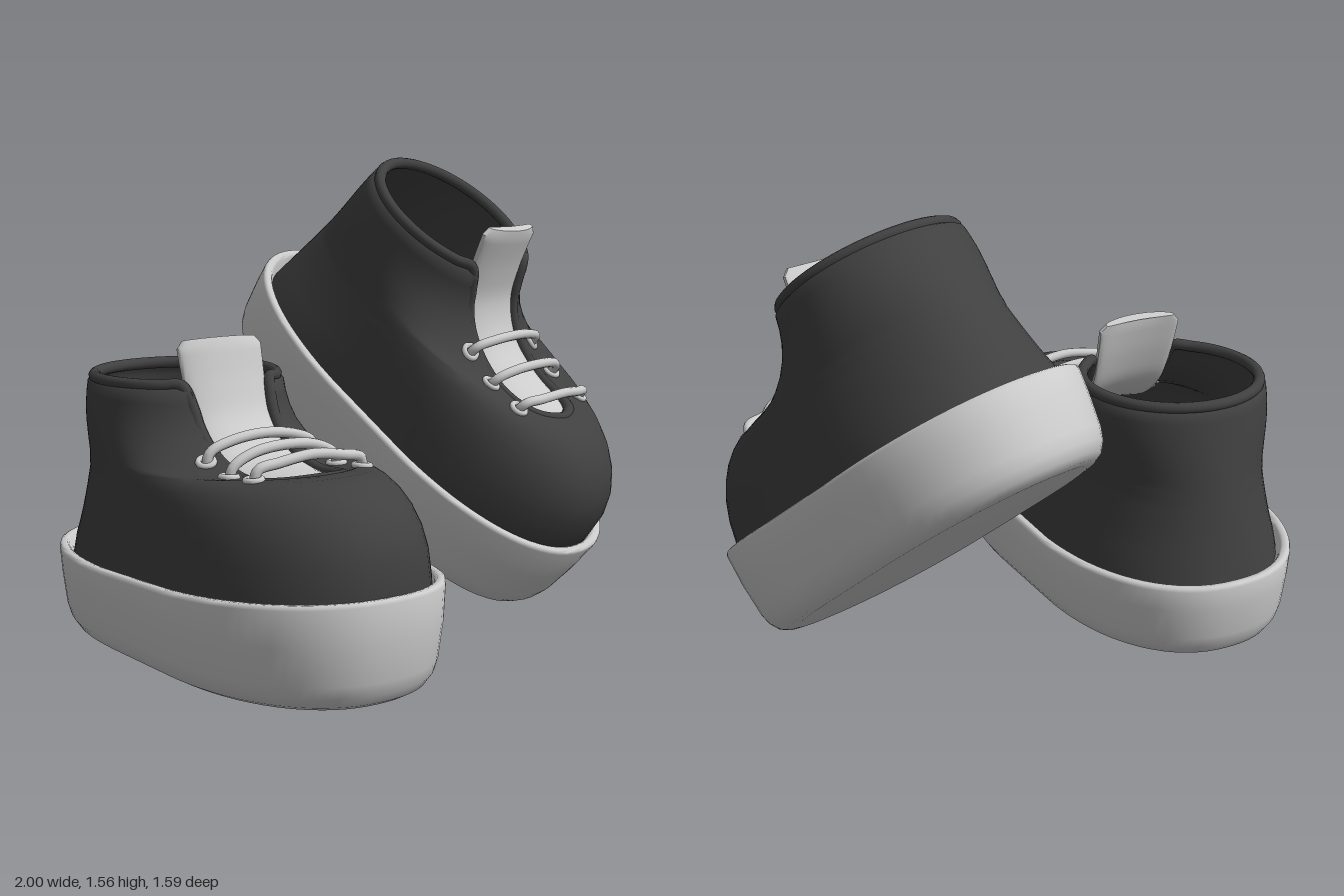
import * as THREE from 'three';
import { toCreasedNormals } from 'three/addons/utils/BufferGeometryUtils.js';

const light = new THREE.MeshStandardMaterial({ color: 0xcccccc, side: THREE.DoubleSide });
const dark = new THREE.MeshStandardMaterial({ color: 0x404040, side: THREE.DoubleSide });
const N = 72;
const V = (x, y, z) => new THREE.Vector3(x, y, z);
const spow = (v, p) => Math.sign(v) * Math.abs(v) ** p;

// Rounded outline from front round to front, with height y(z) and straight sides of half-length s;
// w leaves a gap of half-width w at the front
function outline(y, zf, zb, hw, n, s = 0, w = 0) {
  const start = w ? Math.asin((w / hw) ** (n / 2)) : 0;
  const c = (zf + zb) / 2, a = (zf - zb) / 2 - s;
  return Array.from({ length: N + 1 }, (_, j) => {
    const t = start + (j / N) * (2 * Math.PI - 2 * start), cos = Math.cos(t);
    const z = c + s * Math.sign(cos) + a * spow(cos, 2 / n);
    return V(hw * spow(Math.sin(t), 2 / n), y(z), z);
  });
}

// Skin a surface over rings with equal point counts
function loft(rings, crease = 0.7) {
  const m = rings[0].length, index = [];
  for (let i = 0; i < rings.length - 1; i++)
    for (let j = 0; j < m - 1; j++) {
      const a = i * m + j, d = a + m;
      index.push(a, a + 1, d + 1, a, d + 1, d);
    }
  const g = new THREE.BufferGeometry().setFromPoints(rings.flat());
  g.setIndex(index);
  return toCreasedNormals(g, crease);
}

function add(group, name, geometry, material) {
  const mesh = new THREE.Mesh(geometry, material);
  mesh.name = name;
  group.add(mesh);
  return mesh;
}

const tube = (points, r, segments, closed = false) =>
  new THREE.TubeGeometry(new THREE.CatmullRomCurve3(points, closed), segments, r, 10, closed);

function createSole() {
  const top = (z) => 0.288 + 0.05 * Math.max(0, z + 0.2) ** 1.3;
  const ring = (inset, y) => outline(y, 0.81 - inset, -0.812 + inset, 0.437 - inset, 2.25, 0.15);
  const level = (inset, y) => ring(inset, () => y);
  return loft([
    Array(N + 1).fill(V(0, 0, 0)),
    level(0.11, 0), level(0.08, 0.005), level(0.053, 0.02), level(0.032, 0.05), level(0.02, 0.09),
    level(0.006, 0.2), ring(0, (z) => top(z) - 0.014), ring(0.003, (z) => top(z) - 0.004),
    ring(0.01, top), ring(0.026, top), ring(0.033, (z) => top(z) - 0.008), level(0.055, 0.24),
  ], 1);
}

// Upper rows: heel height, front height, front z, half-width of the throat gap
const UPPER = [
  [0.12, 0.12, 0.745, 0],
  [0.2, 0.2, 0.765, 0],
  [0.31, 0.33, 0.775, 0],
  [0.36, 0.43, 0.77, 0],
  [0.4, 0.5, 0.747, 0],
  [0.44, 0.56, 0.705, 0],
  [0.48, 0.605, 0.65, 0],
  [0.515, 0.632, 0.59, 0],
  [0.545, 0.643, 0.535, 0],
  [0.57, 0.64, 0.46, 0],
  [0.58, 0.637, 0.453, 0.065],
  [0.59, 0.632, 0.438, 0.11],
  [0.61, 0.622, 0.385, 0.138],
  [0.64, 0.616, 0.3, 0.143],
  [0.67, 0.628, 0.22, 0.143],
  [0.705, 0.658, 0.135, 0.143],
  [0.74, 0.7, 0.067, 0.143],
  [0.775, 0.75, 0.022, 0.145],
  [0.81, 0.8, -0.003, 0.148],
  [0.842, 0.842, -0.013, 0.153],
];

function createUpperRows() {
  const rows = UPPER.map(([yb, yf, zf, w]) => {
    const zb = -0.752 + (yb - 0.29) * 0.175;
    const y = (z) => yb + (yf - yb) * Math.max(0, (z - zb) / (zf - zb)) ** 1.5;
    const low = THREE.MathUtils.clamp((0.55 - yb) / 0.25, 0, 1);
    return outline(y, zf, zb, 0.392 - (yb - 0.29) * 0.13, 2.08 + 0.17 * low, 0.15 * low, w);
  });
  // The top row turns in to meet the rolled edge
  rows.push(outline(() => 0.858, -0.038, -0.635, 0.3, 2, 0, 0.166));
  return rows;
}

function createTongue() {
  const path = new THREE.CatmullRomCurve3([
    V(0, 0.595, 0.47), V(0, 0.604, 0.36), V(0, 0.612, 0.22), V(0, 0.65, 0.085),
    V(0, 0.74, -0.02), V(0, 0.85, -0.07), V(0, 1.0, -0.112),
  ]);
  const rings = [], steps = 32;
  for (let i = 0; i <= steps; i++) {
    const t = i / steps, p = path.getPointAt(t), tan = path.getTangentAt(t);
    const normal = V(0, -tan.z, tan.y);
    const hw = 0.145 + 0.012 * THREE.MathUtils.smoothstep(t, 0.65, 1);
    const ring = (s, th) => Array.from({ length: 41 }, (_, j) => {
      const a = (j / 40) * Math.PI * 2, u = spow(Math.sin(a), 0.6);
      return V(u * hw * s, 0, 0).add(p)
        .addScaledVector(normal, th * spow(Math.cos(a), 0.6) - 0.022 * u * u);
    });
    if (i === 0) rings.push(ring(0, 0));
    // The top corners are rounded off
    rings.push(ring(i === steps ? 0.86 : 1, i === steps ? 0.015 : 0.02));
    if (i === steps) rings.push(ring(0, 0));
  }
  return loft(rings);
}

function createShoe(name) {
  const shoe = new THREE.Group();
  shoe.name = name;
  add(shoe, 'sole', createSole(), light);

  const rows = createUpperRows();
  const upper = add(shoe, 'upper', loft(rows, 1.4), dark);
  add(shoe, 'insole', loft([rows[0], Array(N + 1).fill(V(0, 0.12, 0))]), dark);

  // Rolled edge up one side of the throat, round the collar and down again
  const collar = rows[rows.length - 1], throat = rows.slice(9, -2);
  const sunk = (p) => p.clone().add(V(0, -0.014, -0.012));
  const edge = [
    ...throat.map((r) => sunk(r[0])),
    ...collar.filter((_, j) => j % 3 === 0),
    ...throat.slice(1).reverse().map((r) => sunk(r[N])),
  ];
  add(shoe, 'collarEdge', tube(edge, 0.02, 240, true), dark);

  add(shoe, 'tongue', createTongue(), light);

  // Three laces between eyelets set on the surface of the upper: z, top height
  const down = V(0, -1, 0);
  for (const [z, top] of [[0.11, 0.722], [0.24, 0.705], [0.375, 0.694]]) {
    const hit = new THREE.Raycaster(V(0.2, 1.5, z), down).intersectObject(upper)[0];
    const y = hit.point.y, n = hit.face.normal;
    const half = [
      V(0.2, y - 0.02, z), V(0.19, y + 0.03, z + 0.006), V(0.12, top - 0.015, z + 0.015),
    ];
    const mirrored = half.map((p) => V(-p.x, p.y, p.z)).reverse();
    add(shoe, 'lace', tube([...half, V(0, top, z + 0.02), ...mirrored], 0.017, 40), light);
    for (const s of [-1, 1]) {
      const eyelet = add(shoe, 'eyelet', new THREE.TorusGeometry(0.025, 0.01, 8, 20), light);
      eyelet.position.set(s * 0.2, y + 0.003, z);
      eyelet.lookAt(s * (0.2 + n.x), y + 0.003 + n.y, z + n.z);
    }
  }
  return shoe;
}

export function createModel() {
  const model = new THREE.Group();
  model.name = 'pairOfShoes';

  // One shoe flat on the ground, toe turned out
  const flat = createShoe('rightShoe');
  flat.position.set(-0.483, 0, 0);
  flat.rotation.y = -0.29;

  // The other resting on its toe with the heel raised
  const tilted = createShoe('leftShoe');
  tilted.position.set(0.563, 0.471, -0.181);
  tilted.rotation.x = 0.685;

  model.add(flat, tilted);
  return model;
}
